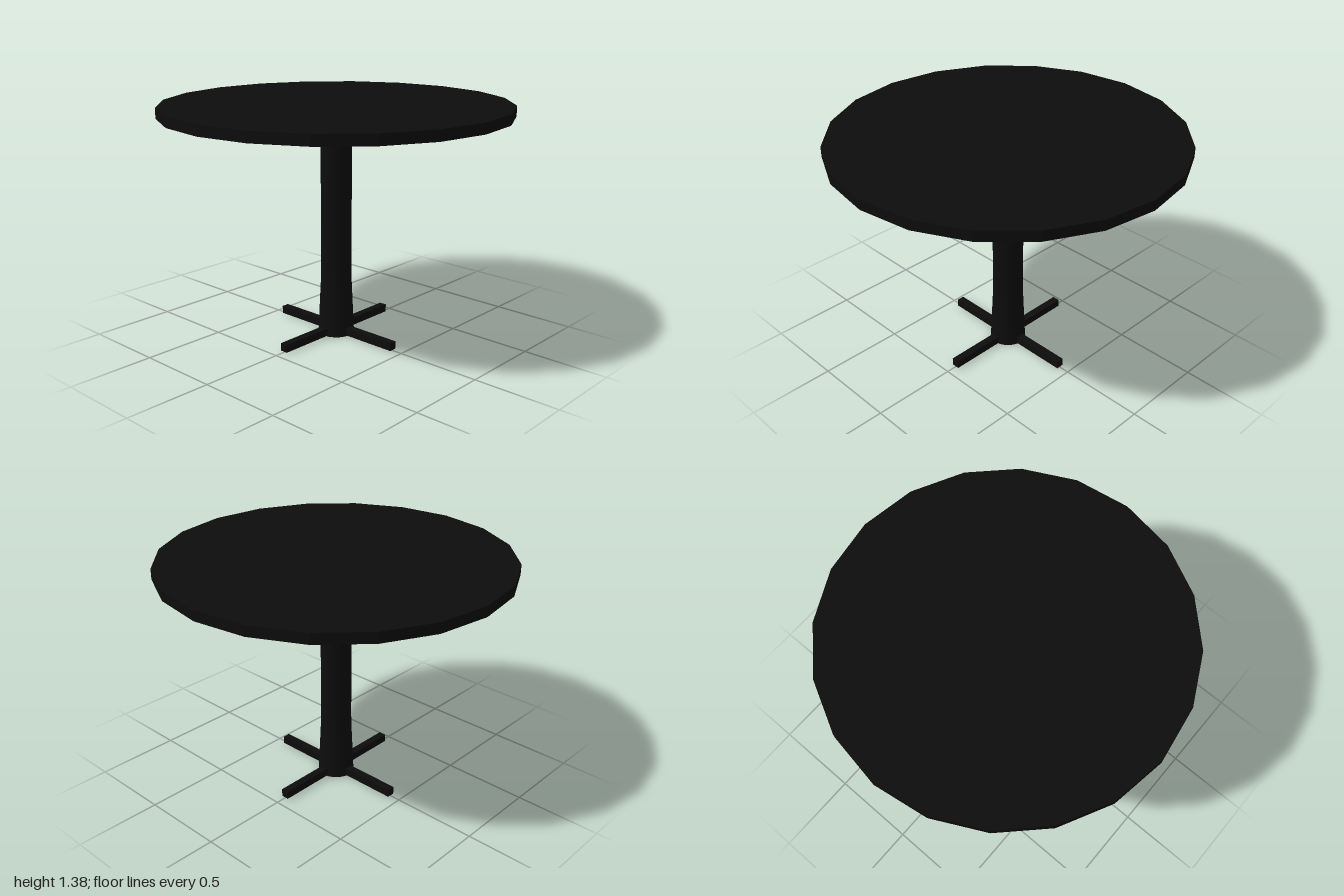
import * as THREE from 'three';

export function createModel() {
  const group = new THREE.Group();
  const flat = new THREE.MeshStandardMaterial({ color: 0x0d0d0d, flatShading: true });
  const smooth = new THREE.MeshStandardMaterial({ color: 0x0d0d0d });

  const add = (name, geometry, material, y) => {
    const mesh = new THREE.Mesh(geometry, material);
    mesh.name = name;
    mesh.position.y = y;
    group.add(mesh);
    return mesh;
  };

  // Round top with twenty straight sides
  add('tableTop', new THREE.CylinderGeometry(1, 1, 0.06, 20), flat, 1.345);

  // Column: flared foot, straight shaft, rounded neck under the top
  const profile = [
    [0.107, 0], [0.105, 0.05], [0.092, 0.32], [0.09, 0.4],
    [0.09, 1.25], [0.085, 1.28], [0.073, 1.318],
  ].map(([r, y]) => new THREE.Vector2(r, y));
  add('column', new THREE.LatheGeometry(profile, 20), smooth, 0);
  const base = add('columnBase', new THREE.CircleGeometry(0.107, 20), flat, 0);
  base.rotation.x = Math.PI / 2;

  // Four flat feet in a cross
  const inner = 0.05, outer = 0.438;
  for (let i = 0; i < 4; i++) {
    const geometry = new THREE.BoxGeometry(outer - inner, 0.046, 0.046);
    geometry.translate((outer + inner) / 2, 0, 0);
    const foot = add('foot' + (i + 1), geometry, flat, 0.027);
    foot.rotation.y = i * Math.PI / 2;
  }
  return group;
}
